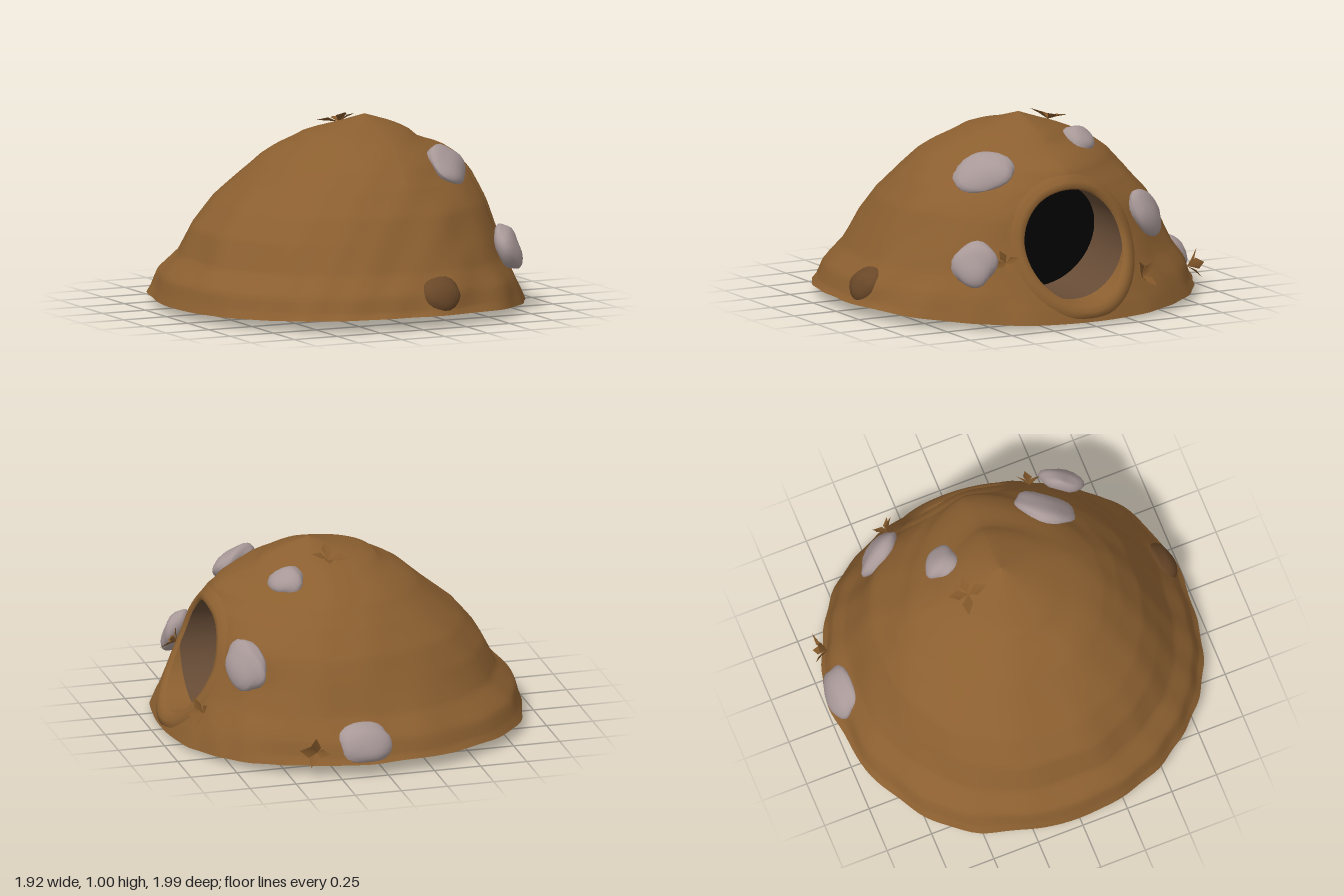
import * as THREE from 'three';

const paint = (name, color, side = THREE.FrontSide) => {
  const m = new THREE.MeshStandardMaterial({ color, side });
  m.name = name;
  return m;
};

// Mound profile rows: height, left extent, right extent, half depth
const PROFILE = [
  [0.03, -0.97, 0.95, 0.985], [0.17, -0.93, 0.89, 0.93], [0.27, -0.83, 0.85, 0.85],
  [0.42, -0.76, 0.79, 0.77], [0.55, -0.65, 0.75, 0.70], [0.68, -0.50, 0.715, 0.60],
  [0.77, -0.40, 0.66, 0.51], [0.82, -0.32, 0.58, 0.44], [0.86, -0.24, 0.45, 0.37],
  [0.91, -0.18, 0.39, 0.25], [0.95, 0, 0.30, 0.13], [0.995, 0.15, 0.15, 0],
];
const HOLE = { y: 0.39, r: 0.285, mouth: 0.765, back: 0.45, lean: 0.08 };

function profileAt(y) {
  let k = 0;
  while (k < PROFILE.length - 2 && y > PROFILE[k + 1][0]) k++;
  const [p, q] = [PROFILE[k], PROFILE[k + 1]];
  const t = THREE.MathUtils.clamp((y - p[0]) / (q[0] - p[0]), 0, 1);
  const [, left, right, depth] = p.map((v, i) => v + (q[i] - v) * t);
  return { left, right, depth, cx: 0.15 * y };
}

// Roundness of the plan: the upper right narrows into a hood over the entrance
const roundness = (y, isRight) => 2.15 - (isRight ? 0.6 * THREE.MathUtils.smoothstep(y, 0.52, 0.78) : 0);
const signedPow = (v, e) => Math.sign(v) * Math.abs(v) ** e;

// Soft lumps, fading out around the entrance
function lump(x, y, z) {
  const n = Math.sin(9 * x + 5 * z + 2) * Math.sin(7 * y + 8 * z - 4 * x) * 0.5
    + Math.sin(17 * z - 12 * x + 8 * y) * 0.3 + Math.sin(23 * x + 19 * z - 9 * y) * 0.25;
  const near = x > 0 ? THREE.MathUtils.smoothstep(Math.hypot(z, y - HOLE.y), 0.36, 0.55) : 1;
  return 0.015 * n * near;
}

// Point on the mound at an angle and height
function surface(theta, y) {
  const { left, right, depth, cx } = profileAt(y);
  const c = Math.cos(theta), e = 2 / roundness(y, c > 0);
  const x = cx + (c > 0 ? right - cx : cx - left) * signedPow(c, e);
  const z = depth * signedPow(Math.sin(theta), e);
  const k = 1 + lump(x, y, z) * Math.min(1, (1 - y) * 6);
  return new THREE.Vector3(cx + (x - cx) * k, y, z * k);
}

// Entrance-side x for a given height and depth
function faceX(y, z) {
  const { right, depth, cx } = profileAt(y);
  const p = roundness(y, true);
  return cx + (right - cx) * Math.max(0, 1 - Math.abs(z / depth) ** p) ** (1 / p);
}

// Closed loops of cross-sections; skip() leaves out a triangle
function loft(rows, cols, point, skip = () => false) {
  const pts = [], idx = [];
  for (let j = 0; j <= rows; j++)
    for (let i = 0; i < cols; i++) pts.push(point((i / cols) * Math.PI * 2, j));
  const add = (...t) => { if (!skip(t.map((n) => pts[n]))) idx.push(...t); };
  for (let j = 0; j < rows; j++)
    for (let i = 0; i < cols; i++) {
      const n = (i + 1) % cols;
      const [a, b, c, d] = [j * cols + i, j * cols + n, (j + 1) * cols + i, (j + 1) * cols + n];
      add(a, c, b);
      add(b, c, d);
    }
  const g = new THREE.BufferGeometry().setFromPoints(pts);
  g.setIndex(idx);
  g.computeVertexNormals();
  return g;
}

// Gently bowed ground edge
function edgePoint(theta) {
  const p = surface(theta, 0.03);
  const c = Math.cos(theta), s = Math.sin(theta);
  p.y = 0.065 * s * s + (c < 0 ? 0.045 : 0.015) * c * c;
  return p;
}

export function createModel() {
  const model = new THREE.Group();
  const earth = paint('earth brown', 0x8b5f30);
  const inside = paint('tunnel brown', 0x674c36);
  const black = paint('hollow black', 0x030303);
  const stone = paint('pale stone', 0xa89898);
  const darkStone = paint('dark stone', 0x694728);
  const dryLeaf = paint('dry leaf', 0x84592b, THREE.DoubleSide);
  const add = (name, geometry, material, parent = model) => {
    const mesh = new THREE.Mesh(geometry, material);
    mesh.name = name;
    parent.add(mesh);
    return mesh;
  };

  // Mound with the entrance cut out
  const ROWS = 50, COLS = 144;
  const cut = (tri) => tri.some((p) => p.x > 0.3 && Math.hypot(p.z, p.y - HOLE.y) < HOLE.r + 0.015);
  add('mound', loft(ROWS, COLS, (a, j) => {
    if (j === 0) return edgePoint(a);
    return surface(a, 0.085 + 0.91 * ((j - 1) / (ROWS - 1)));
  }, cut), earth);

  // Underside
  add('underside', loft(1, COLS, (a, j) => (j ? edgePoint(a) : new THREE.Vector3(0.3, 0, 0))), earth);

  // Rounded rim: radius offset and lift from the mound
  const RIM = [[0.095, -0.02], [0.07, 0.004], [0.04, 0.014], [0.015, 0.008], [0, -0.012]];
  const rimPoint = (a, [dr, lift]) => {
    const r = HOLE.r + dr;
    const y = Math.max(0.03, HOLE.y + r * Math.sin(a)), z = r * Math.cos(a);
    return new THREE.Vector3(faceX(y, z) + lift, y, z);
  };
  add('entranceRim', loft(RIM.length - 1, 64, (a, j) => rimPoint(a, RIM[j])), earth);

  // Earth sill reaching in from the rim, tunnel wall and dark leaning end
  const mouthPoint = (a) => {
    const p = rimPoint(a, RIM[4]);
    p.x = Math.min(p.x, HOLE.mouth);
    return p;
  };
  const backPoint = (a) => {
    const p = mouthPoint(a);
    p.x = HOLE.back + HOLE.lean * Math.sin(a);
    return p;
  };
  add('entranceSill', loft(1, 64, (a, j) => (j ? mouthPoint(a) : rimPoint(a, RIM[4]))), earth);
  add('tunnelWall', loft(1, 64, (a, j) => (j ? backPoint(a) : mouthPoint(a))), inside);
  const centre = new THREE.Vector3(HOLE.back, HOLE.y, 0);
  add('tunnelEnd', loft(1, 64, (a, j) => (j ? centre.clone() : backPoint(a))), black);

  // Group seated on the mound near a point, its z axis along the surface normal
  function seat(name, x, y, z) {
    const { left, right, depth, cx } = profileAt(y);
    const e = roundness(y, x > cx) / 2;
    const u = (x - cx) / (x > cx ? right - cx : cx - left);
    const a = Math.atan2(signedPow(z / depth, e), signedPow(u, e));
    const p = surface(a, y);
    const up = surface(a, y + 0.05).sub(surface(a, y - 0.05));
    const along = surface(a + 0.1, y).sub(surface(a - 0.1, y));
    const g = new THREE.Group();
    g.name = name;
    g.position.copy(p);
    g.lookAt(p.clone().add(up.cross(along)));
    model.add(g);
    return g;
  }

  // Embedded stones: position, half width, half height, roll, lift
  [
    [0.41, 0.75, 0.33, 0.165, 0.12, 0.3, 0.005, stone],
    [0.61, 0.49, -0.48, 0.15, 0.115, -0.6, 0.01, stone],
    [0.7, 0.315, 0.56, 0.115, 0.12, 0.2, 0.05, stone],
    [0.335, 0.85, -0.25, 0.095, 0.09, 0, 0, stone],
    [0.1, 0.17, -0.92, 0.145, 0.115, 0.2, -0.015, stone],
    [0.15, 0.18, 0.92, 0.11, 0.1, 0, -0.03, darkStone],
  ].forEach(([x, y, z, w, h, roll, lift, material], k) => {
    const g = new THREE.SphereGeometry(1, 18, 12);
    const pos = g.attributes.position, v = new THREE.Vector3();
    for (let i = 0; i < pos.count; i++) {
      v.fromBufferAttribute(pos, i);
      v.multiplyScalar(1 + 0.07 * Math.sin(3 * v.x + 2 * v.y + k * 2) + 0.05 * Math.sin(5 * v.y - 4 * v.z + k));
      pos.setXYZ(i, v.x, v.y, v.z);
    }
    g.scale(w, h, 0.06).rotateZ(roll);
    g.computeVertexNormals();
    add('stone', g, material, seat('embeddedStone', x, y, z)).position.z = lift;
  });

  // Dry sprigs of broad, pointed, folded leaves: position, size, upward tilt
  const leaf = new THREE.BufferGeometry().setFromPoints([
    [0, 0, 0], [0.06, -0.032, 0.03], [0.062, 0, 0.018], [0.06, 0.032, 0.03], [0.125, 0, 0.03],
  ].map((p) => new THREE.Vector3(...p)));
  leaf.setIndex([0, 1, 2, 0, 2, 3, 1, 4, 2, 2, 4, 3]);
  leaf.computeVertexNormals();
  [
    [0.36, 0.12, -0.9, 0.85, 0.4], [0.87, 0.2, -0.39, 0.75, 0.3],
    [0.1, 0.925, -0.2, 0.85, 0], [0.8, 0.33, 0.43, 0.7, 0.3],
  ].forEach(([x, y, z, size, tilt], k) => {
    const sprig = seat('drySprig', x, y, z);
    for (let i = 0; i < 4; i++) {
      const blade = add('leaf', leaf, dryLeaf, sprig);
      blade.rotation.set(0, -tilt - 0.12 * (i % 3), i * 1.5 + k * 0.7, 'ZYX');
      blade.scale.setScalar(size * (0.9 + 0.1 * ((i + k) % 3)));
    }
  });

  return model;
}
